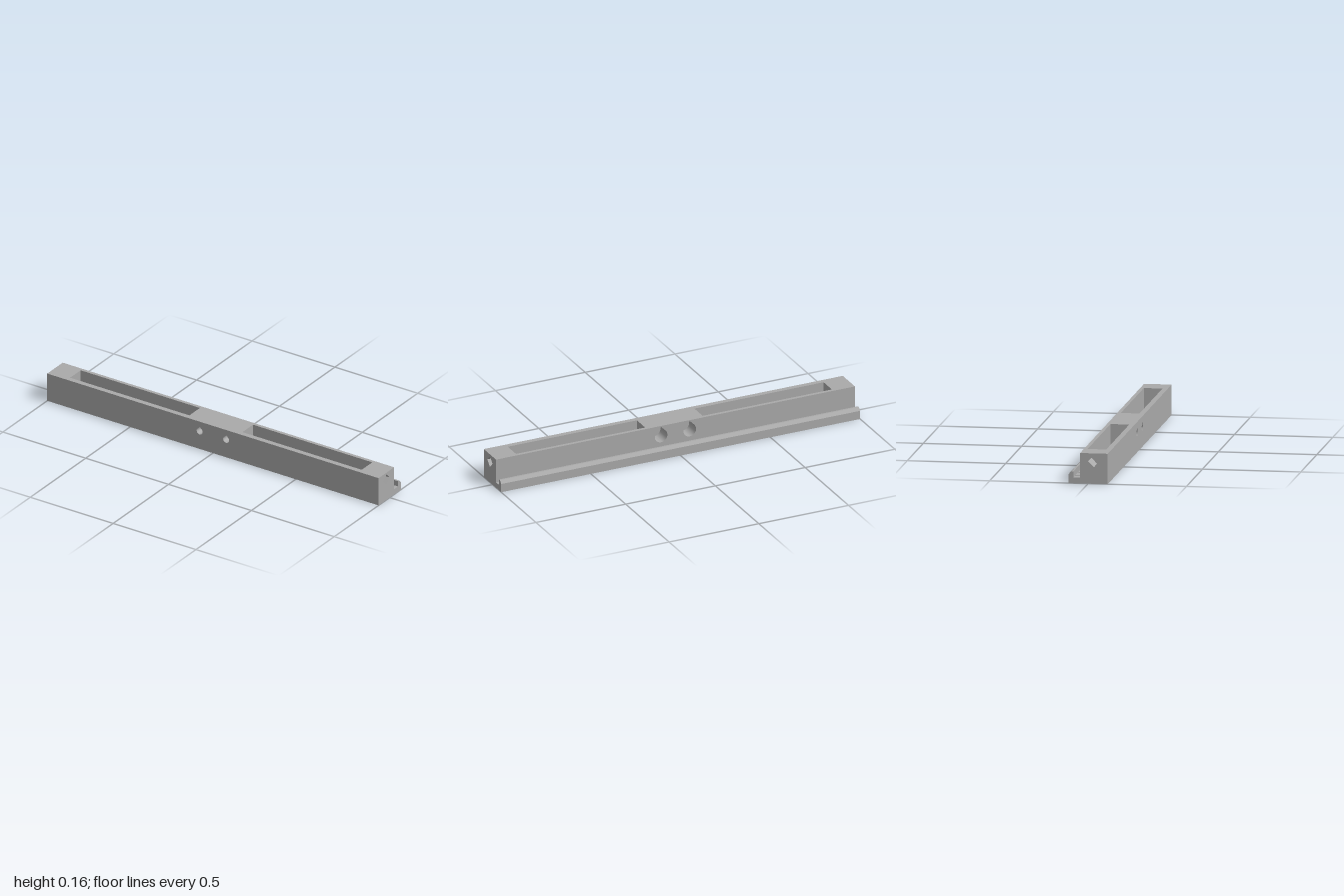
import * as THREE from 'three';
import { toCreasedNormals } from 'three/addons/utils/BufferGeometryUtils.js';

const grey = new THREE.MeshStandardMaterial({ color: 0xaaaaaa });
grey.name = 'grey';

const vectors = (list) => list.map(([x, y]) => new THREE.Vector2(x, y));

function addMesh(parent, name, geometry) {
  const mesh = new THREE.Mesh(geometry, grey);
  mesh.name = name;
  parent.add(mesh);
}

// Counter-clockwise outlines
const rect = (x0, x1, y0, y1) => [[x0, y0], [x1, y0], [x1, y1], [x0, y1]];

const diamond = (x, y, r) => [[x, y - r], [x + r, y], [x, y + r], [x - r, y]];

function teardrop(x, y, r) {
  const points = [];
  for (let i = 0; i <= 24; i++) {
    const a = Math.PI * (0.75 + 1.5 * i / 24);
    points.push([x + r * Math.cos(a), y + r * Math.sin(a)]);
  }
  points.push([x, y + r * Math.SQRT2]);
  return points;
}

// Flat face looking along +z, with holes
function plate(outline, holes = []) {
  const shape = new THREE.Shape(vectors(outline));
  for (const hole of holes) shape.holes.push(new THREE.Path(vectors(hole)));
  return new THREE.ShapeGeometry(shape);
}

// Walls running back from z0 to z1, facing left of the outline's direction
function walls(outline, z0, z1, closed = true) {
  const p = [];
  const count = closed ? outline.length : outline.length - 1;
  for (let i = 0; i < count; i++) {
    const a = outline[i];
    const b = outline[(i + 1) % outline.length];
    p.push(...a, z0, ...b, z0, ...b, z1, ...a, z0, ...b, z1, ...a, z1);
  }
  const geometry = new THREE.BufferGeometry();
  geometry.setAttribute('position', new THREE.Float32BufferAttribute(p, 3));
  geometry.computeVertexNormals();
  return toCreasedNormals(geometry, 0.5);
}

// Face with blind recesses sunk into it
function recessedFace(parent, name, outline, holes, depth) {
  const group = new THREE.Group();
  group.name = name;
  addMesh(group, name + 'Surface', plate(outline, holes));
  for (const hole of holes) {
    addMesh(group, name + 'RecessWalls', walls(hole, 0, -depth));
    addMesh(group, name + 'RecessFloor', plate(hole).translate(0, 0, -depth));
  }
  parent.add(group);
  return group;
}

export function createModel() {
  const model = new THREE.Group();
  model.name = 'slottedRail';
  const H = 0.155, front = 0.1, back = -0.04, groove = 0.03;
  const holeXs = [-0.08, 0.08], holeY = 0.1;

  // Top with two long pockets
  const top = recessedFace(model, 'top', rect(-1, 1, -front, -back),
    [rect(-0.88, -0.16, -0.073, 0.022), rect(0.16, 0.88, -0.073, 0.022)], 0.13);
  top.rotation.x = -Math.PI / 2;
  top.position.y = H;

  // Groove floor with a row of small slots
  const slots = [];
  for (let i = 0; i < 20; i++) {
    const x = -0.95 + i * 0.1;
    slots.push(rect(x - 0.008, x + 0.008, 0.046, 0.0745));
  }
  const floor = recessedFace(model, 'grooveFloor', rect(-1, 1, -back, 0.075), slots, 0.015);
  floor.rotation.x = -Math.PI / 2;
  floor.position.y = groove;

  // Front with the narrow ends of the screw holes
  const frontFace = new THREE.Group();
  frontFace.name = 'front';
  frontFace.position.z = front;
  const narrow = holeXs.map((x) => teardrop(x, holeY, 0.018));
  addMesh(frontFace, 'frontSurface', plate(rect(-1, 1, 0, H), narrow));
  narrow.forEach((hole) => addMesh(frontFace, 'screwHole', walls(hole, 0, -0.06)));
  model.add(frontFace);

  // Back with the wide counterbores
  const backFace = new THREE.Group();
  backFace.name = 'back';
  backFace.rotation.y = Math.PI;
  backFace.position.z = back;
  const wide = holeXs.map((x) => teardrop(x, holeY, 0.035));
  addMesh(backFace, 'backSurface', plate(rect(-1, 1, groove, H), wide));
  wide.forEach((hole, i) => {
    addMesh(backFace, 'counterbore', walls(hole, 0, -0.08));
    addMesh(backFace, 'counterboreShoulder', plate(hole, [narrow[i]]).translate(0, 0, -0.08));
  });
  model.add(backFace);

  // Ends with diamond pin sockets
  const profile = [[-0.1, 0], [0.1, 0], [0.1, 0.045], [0.085, 0.06], [0.075, 0.06],
    [0.075, groove], [-back, groove], [-back, H], [-front, H]];
  for (const side of [1, -1]) {
    const outline = profile.map(([u, y]) => [u * side, y]);
    const end = recessedFace(model, side > 0 ? 'leftEnd' : 'rightEnd', outline,
      [diamond(-0.03 * side, 0.115, 0.03)], 0.1);
    end.rotation.y = side * Math.PI / 2;
    end.position.x = side;
  }

  // Hooked lip and underside
  const lip = new THREE.Group();
  lip.name = 'lipAndUnderside';
  lip.rotation.y = Math.PI / 2;
  addMesh(lip, 'lipStrip', walls([[0.075, groove], [0.075, 0.06], [0.085, 0.06],
    [0.1, 0.045], [0.1, 0], [-0.1, 0]], 1, -1, false));
  model.add(lip);

  return model;
}
